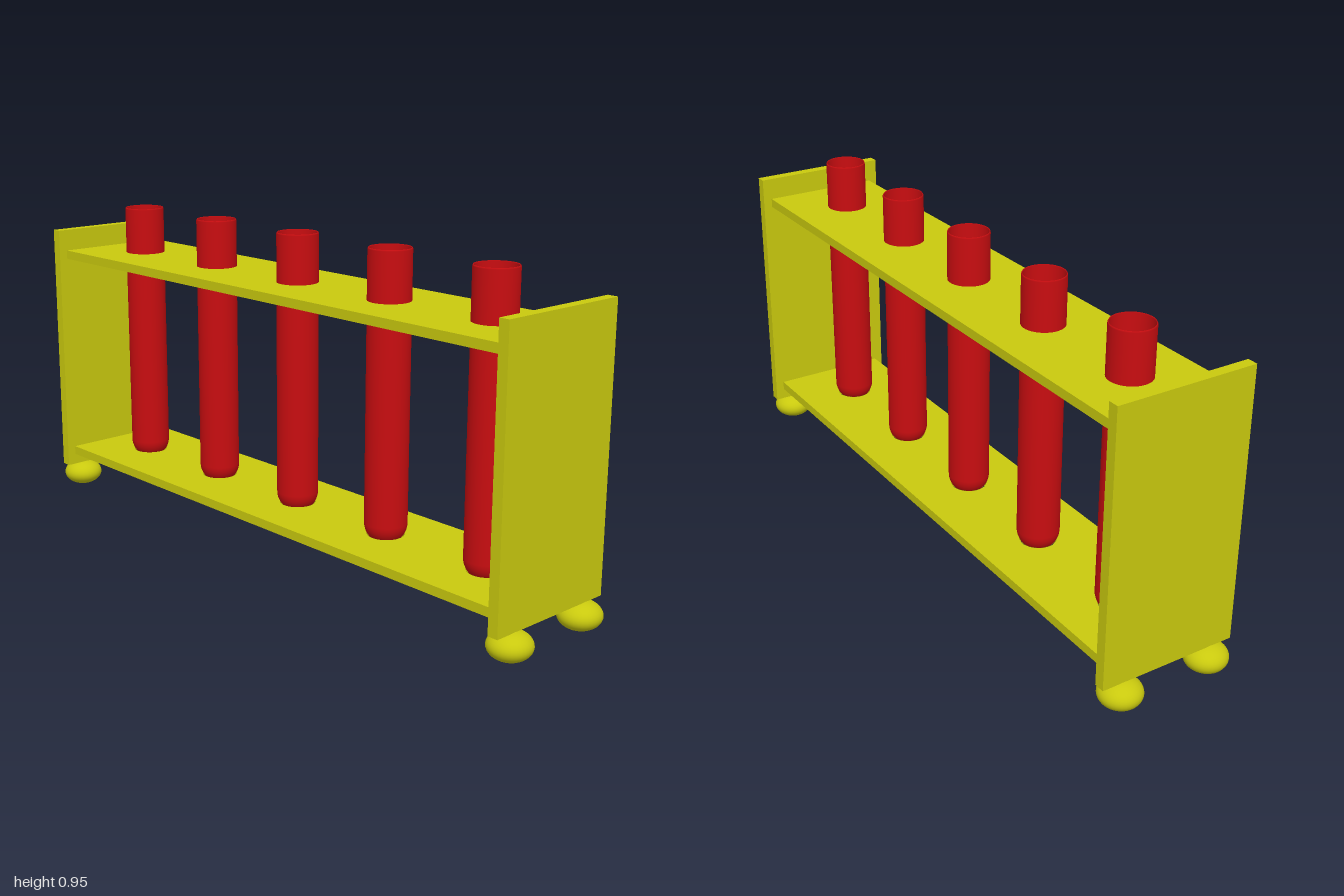
import * as THREE from 'three';

const yellow = new THREE.MeshStandardMaterial({ color: 0xc9c90e, side: THREE.DoubleSide });
const red = new THREE.MeshStandardMaterial({ color: 0xc80d10, side: THREE.DoubleSide });

const tubeXs = [-2, -1, 0, 1, 2].map((i) => i * 0.3685);
const R = 0.061; // tube radius
const domeY = 0.174; // centre of the round tube bottom

function add(group, name, geometry, material, x = 0, y = 0, z = 0) {
  const mesh = new THREE.Mesh(geometry, material);
  mesh.name = name;
  mesh.position.set(x, y, z);
  group.add(mesh);
  return mesh;
}

// Flat board with a row of round holes, its underside at y = 0
function shelfGeometry(holeRadius) {
  const w = 0.925, d = 0.18;
  const shape = new THREE.Shape([
    new THREE.Vector2(-w, -d), new THREE.Vector2(w, -d),
    new THREE.Vector2(w, d), new THREE.Vector2(-w, d),
  ]);
  for (const x of tubeXs) {
    shape.holes.push(new THREE.Path().absarc(x, 0, holeRadius, 0, Math.PI * 2, true));
  }
  const geo = new THREE.ExtrudeGeometry(shape, { depth: 0.027, bevelEnabled: false, curveSegments: 20 });
  return geo.rotateX(-Math.PI / 2);
}

// Quarter circle from the bottom pole outwards
function arc(radius, from, to, n) {
  return Array.from({ length: n + 1 }, (_, i) => {
    const a = from + ((to - from) * i) / n;
    return new THREE.Vector2(radius * Math.sin(a), domeY - radius * Math.cos(a));
  });
}

export function createModel() {
  const rack = new THREE.Group();
  rack.name = 'testTubeRack';

  // Shelves
  add(rack, 'topShelf', shelfGeometry(R), yellow, 0, 0.777, 0);
  add(rack, 'bottomShelf', shelfGeometry(0.053), yellow, 0, 0.112, 0);

  // Hollow tubes with round bottoms, thin walls and a soft rim
  const inner = R - 0.004;
  const tubeProfile = [
    ...arc(R, 0, Math.PI / 2, 10),
    new THREE.Vector2(R, 0.944),
    new THREE.Vector2(R - 0.002, 0.948),
    new THREE.Vector2(inner, 0.945),
    ...arc(inner, Math.PI / 2, 0, 10),
  ];
  const tubeGeo = new THREE.LatheGeometry(tubeProfile, 32);
  // Shallow cups that hold the tube bottoms in the lower shelf
  const cupGeo = new THREE.LatheGeometry(arc(R + 0.0008, 0, 0.95, 6), 32);
  for (const x of tubeXs) {
    add(rack, 'tube', tubeGeo, red, x);
    add(rack, 'socketCup', cupGeo, yellow, x);
  }

  // End panels, each on two flattened ball feet
  const panelGeo = new THREE.BoxGeometry(0.031, 0.793, 0.414);
  const footGeo = new THREE.SphereGeometry(1, 32, 20).scale(0.061, 0.04, 0.061);
  for (const side of [-1, 1]) {
    add(rack, 'endPanel', panelGeo, yellow, side * 0.938, 0.4745, 0);
    for (const z of [-0.14, 0.14]) add(rack, 'foot', footGeo, yellow, side * 0.939, 0.04, z);
  }
  return rack;
}
